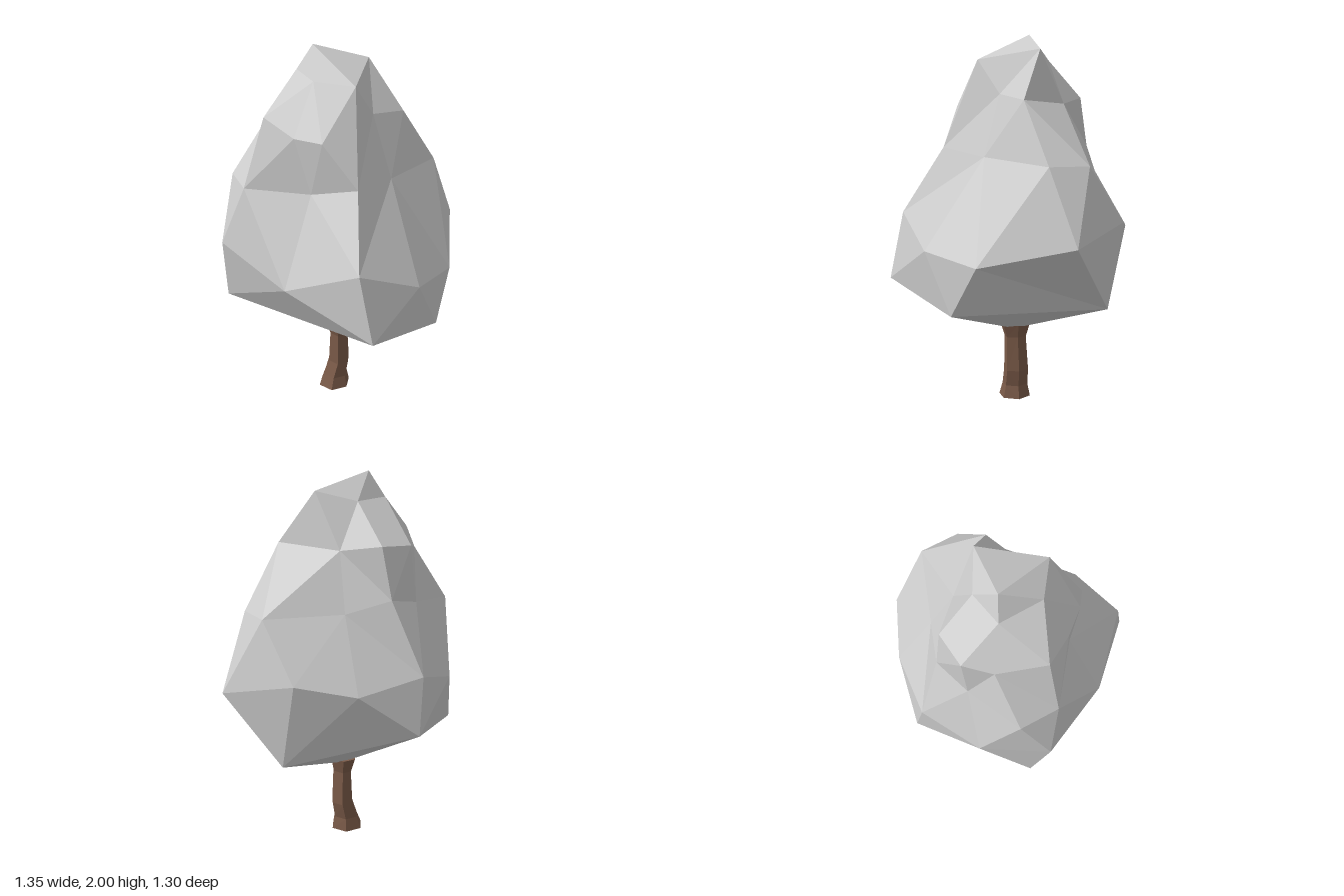
import * as THREE from 'three';

// Skin between stacked rings of points (bottom to top); rings may differ in count.
function skinRings(rings, color, name) {
  const pos = [];
  const dist = (a, b) => Math.hypot(a[0] - b[0], a[1] - b[1], a[2] - b[2]);
  const tri = (a, b, c) => {
    if (dist(a, b) > 1e-6 && dist(b, c) > 1e-6 && dist(c, a) > 1e-6) pos.push(...a, ...b, ...c);
  };
  for (let k = 0; k + 1 < rings.length; k++) {
    const a = rings[k], b = rings[k + 1];
    const na = a.length > 1 ? a.length : 0, nb = b.length > 1 ? b.length : 0;
    let i = 0, j = 0;
    // always take the shorter diagonal
    while (i < na || j < nb) {
      const p = a[i % a.length], q = b[j % b.length];
      const p1 = a[(i + 1) % a.length], q1 = b[(j + 1) % b.length];
      if (j >= nb || (i < na && dist(p1, q) <= dist(p, q1))) { tri(p, q, p1); i++; }
      else { tri(p, q, q1); j++; }
    }
  }
  const geo = new THREE.BufferGeometry();
  geo.setAttribute('position', new THREE.Float32BufferAttribute(pos, 3));
  geo.computeVertexNormals();
  const mesh = new THREE.Mesh(geo, new THREE.MeshStandardMaterial({ color, flatShading: true }));
  mesh.name = name;
  return mesh;
}

// Elliptical ring of six points
function hexRing(cx, y, cz, rx, rz) {
  return Array.from({ length: 6 }, (_, i) => {
    const t = (i / 6) * Math.PI * 2;
    return [cx + rx * Math.cos(t), y, cz + rz * Math.sin(t)];
  });
}

export function createModel() {
  const group = new THREE.Group();
  group.name = 'tree';

  // Crown: faceted, irregular teardrop
  const shoulder = [-0.05, 1.86, 0.185];
  const crown = [
    [[-0.07, 0.39, -0.02]],
    // underside rim
    [[0.46, 0.60, -0.36], [0.32, 0.58, 0.42], [-0.15, 0.70, 0.65], [-0.645, 0.63, -0.21], [-0.15, 0.75, -0.65]],
    // widest ring
    [[0.44, 1.04, -0.45], [0.67, 0.95, -0.12], [0.44, 0.84, 0.32], [0.16, 0.89, 0.52], [-0.19, 1.05, 0.57],
      [-0.48, 0.89, 0.30], [-0.68, 1.0, -0.12], [-0.48, 0.95, -0.43], [-0.19, 1.04, -0.61], [0.16, 0.98, -0.58]],
    // middle ring
    [[0.50, 1.33, -0.24], [0.50, 1.33, -0.03], [0.14, 1.36, 0.20], [-0.11, 1.40, 0.36], [-0.29, 1.34, 0.19],
      [-0.57, 1.33, -0.03], [-0.57, 1.33, -0.24], [-0.29, 1.36, -0.38], [-0.10, 1.40, -0.45], [0.12, 1.34, -0.375]],
    // upper ring, with one ridge running up to the shoulder
    [[0.08, 1.63, -0.25], [0.28, 1.65, 0.03], [0.08, 1.68, 0.10], shoulder, [-0.25, 1.62, 0.25],
      [-0.35, 1.62, 0.13], [-0.45, 1.69, -0.03], [-0.35, 1.62, -0.26], [-0.25, 1.65, -0.38], [-0.07, 1.66, -0.40]],
    // tip ring and apex
    [[-0.045, 1.86, -0.205], [0.14, 1.91, -0.10], shoulder, [-0.22, 1.87, 0.06], [-0.225, 1.87, -0.17]],
    [[-0.15, 2.0, -0.13]],
  ];
  group.add(skinRings(crown, 0xcccccc, 'crown'));

  // Trunk: flared at the foot and under the crown
  const trunk = [
    [[-0.09, 0, -0.03]],
    hexRing(-0.092, 0, -0.03, 0.092, 0.088),
    hexRing(-0.085, 0.07, -0.03, 0.07, 0.072),
    hexRing(-0.062, 0.16, -0.03, 0.062, 0.07),
    hexRing(-0.063, 0.35, -0.025, 0.052, 0.062),
    hexRing(-0.065, 0.43, -0.025, 0.072, 0.09),
    [[-0.065, 0.43, -0.025]],
  ];
  group.add(skinRings(trunk, 0x7a5a48, 'trunk'));

  return group;
}
